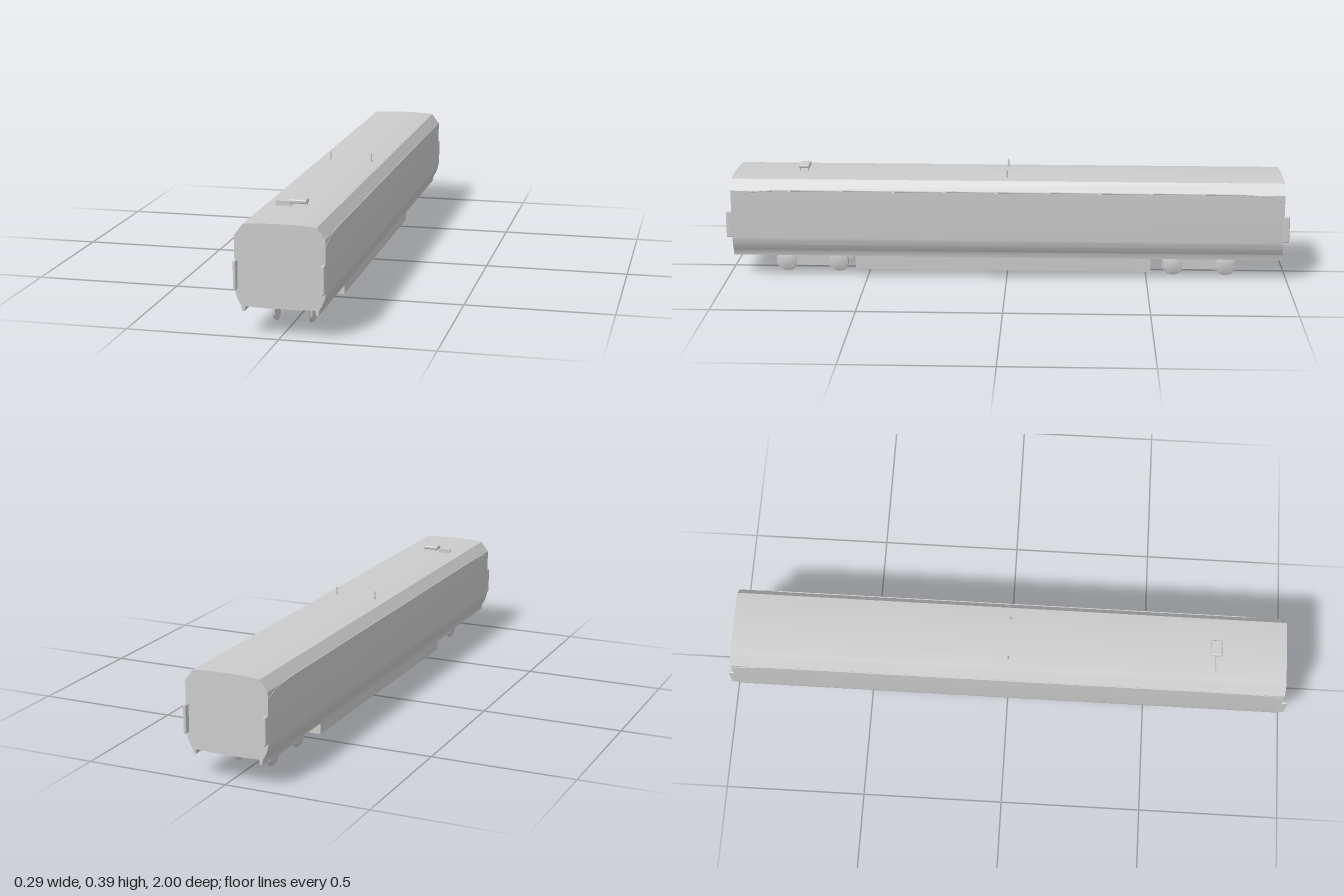
import * as THREE from 'three';
import { toCreasedNormals } from 'three/addons/utils/BufferGeometryUtils.js';
import { RoundedBoxGeometry } from 'three/addons/geometries/RoundedBoxGeometry.js';

const grey = new THREE.MeshStandardMaterial({ color: 0xcccccc });

function add(parent, name, geometry, x = 0, y = 0, z = 0) {
  const mesh = new THREE.Mesh(geometry, grey);
  mesh.name = name;
  mesh.position.set(x, y, z);
  parent.add(mesh);
  return mesh;
}

// Box given by its min and max corners
function box(parent, name, [x0, y0, z0], [x1, y1, z1]) {
  return add(parent, name, new THREE.BoxGeometry(x1 - x0, y1 - y0, z1 - z0),
    (x0 + x1) / 2, (y0 + y1) / 2, (z0 + z1) / 2);
}

// Coach shell: mirrored cross-section swept along z
function buildShell(parent) {
  const half = [[0.06, 0.3645], [0.1, 0.362], [0.118, 0.36], [0.146, 0.323], [0.146, 0.16]];
  const curve = new THREE.QuadraticBezierCurve(
    new THREE.Vector2(0.146, 0.15), new THREE.Vector2(0.143, 0.123), new THREE.Vector2(0.126, 0.098));
  curve.getPoints(8).forEach((p) => half.push([p.x, p.y]));
  half.push([0.123, 0.079], [0.115, 0.079], [0.112, 0.096], [0.06, 0.093]);
  const points = [[0, 0.3655], ...half, [0, 0.093], ...half.map(([x, y]) => [-x, y]).reverse()];
  const shape = new THREE.Shape(points.map(([x, y]) => new THREE.Vector2(x, y)));
  const geometry = new THREE.ExtrudeGeometry(shape, { depth: 1.96, bevelEnabled: false });
  geometry.translate(0, 0, -0.98);
  add(parent, 'coachBody', toCreasedNormals(geometry, 0.45));
}

// Rain gutter along the roof edge, dipping towards both ends
function buildGutter(parent, side) {
  const pts = [[0.3, 0.978], [0.317, 0.93], [0.325, 0.83], [0.325, -0.83], [0.317, -0.93], [0.3, -0.978]];
  const path = new THREE.CurvePath();
  const v = pts.map(([y, z]) => new THREE.Vector3(side * 0.1455, y, z));
  for (let i = 1; i < v.length; i++) path.add(new THREE.LineCurve3(v[i - 1], v[i]));
  add(parent, 'rainGutter', new THREE.TubeGeometry(path, 60, 0.002, 6));
}

// Wheel: tread with a wider flange on the inner side (lathe axis = outward)
function wheelGeometry(side) {
  const profile = [[0, 0], [0.04, 0], [0.04, 0.002], [0.036, 0.004], [0.034, 0.01], [0, 0.01]];
  const geometry = new THREE.LatheGeometry(profile.map(([r, h]) => new THREE.Vector2(r, h)), 28);
  geometry.rotateZ(-side * Math.PI / 2);
  return toCreasedNormals(geometry, 0.5);
}

// Bogie: four wheels, side frames and suspension blocks
function buildBogie(parent, zCentre) {
  const bogie = new THREE.Group();
  bogie.name = 'bogie';
  bogie.position.z = zCentre;
  parent.add(bogie);
  const outline = [[-0.1, 0.04], [-0.07, 0.024], [0.07, 0.024], [0.1, 0.04],
    [0.09, 0.068], [0.05, 0.075], [-0.05, 0.075], [-0.09, 0.068]];
  const frameShape = new THREE.Shape(outline.map(([z, y]) => new THREE.Vector2(-z, y)));
  for (const side of [-1, 1]) {
    for (const z of [-0.094, 0.094]) {
      add(bogie, 'wheel', wheelGeometry(side), side * 0.056, 0.04, z);
    }
    const frame = new THREE.ExtrudeGeometry(frameShape, { depth: 0.006, bevelEnabled: false });
    frame.rotateY(Math.PI / 2);
    add(bogie, 'sideFrame', frame, side * 0.061 - 0.003);
    const block = add(bogie, 'suspensionBlock', new THREE.BoxGeometry(0.034, 0.024, 0.07), side * 0.066, 0.081, -0.012);
    block.userData.side = side;
    add(bogie, 'bolsterPlate', new THREE.BoxGeometry(0.006, 0.04, 0.07), side * 0.064, 0.062, -0.012);
  }
}

export function createModel() {
  const coach = new THREE.Group();
  coach.name = 'railCoach';

  buildShell(coach);
  box(coach, 'underfloorBox', [-0.103, 0.024, -0.515], [0.103, 0.094, 0.545]);
  for (const z of [0.705, -0.692]) buildBogie(coach, z);

  for (const side of [-1, 1]) {
    buildGutter(coach, side);
    // Rounded gangway buffers at the four end corners
    for (const end of [-1, 1]) {
      add(coach, 'endFender', new RoundedBoxGeometry(0.01, 0.096, 0.026, 3, 0.004),
        side * 0.1415, 0.198, end * 0.987);
    }
    // Roof antennas
    add(coach, 'roofAntenna', new THREE.CylinderGeometry(0.0018, 0.004, 0.03, 10), side * 0.075, 0.377, 0);
  }

  // Roof pod on four legs with a thin plate beside it
  add(coach, 'roofPod', new RoundedBoxGeometry(0.058, 0.014, 0.038, 3, 0.005), -0.001, 0.383, 0.732);
  for (const x of [-0.024, 0.022]) {
    for (const z of [0.718, 0.746]) {
      add(coach, 'podLeg', new THREE.CylinderGeometry(0.0015, 0.0015, 0.016, 8), x, 0.37, z);
    }
  }
  box(coach, 'roofPlate', [-0.08, 0.362, 0.73], [-0.03, 0.379, 0.733]);

  return coach;
}
